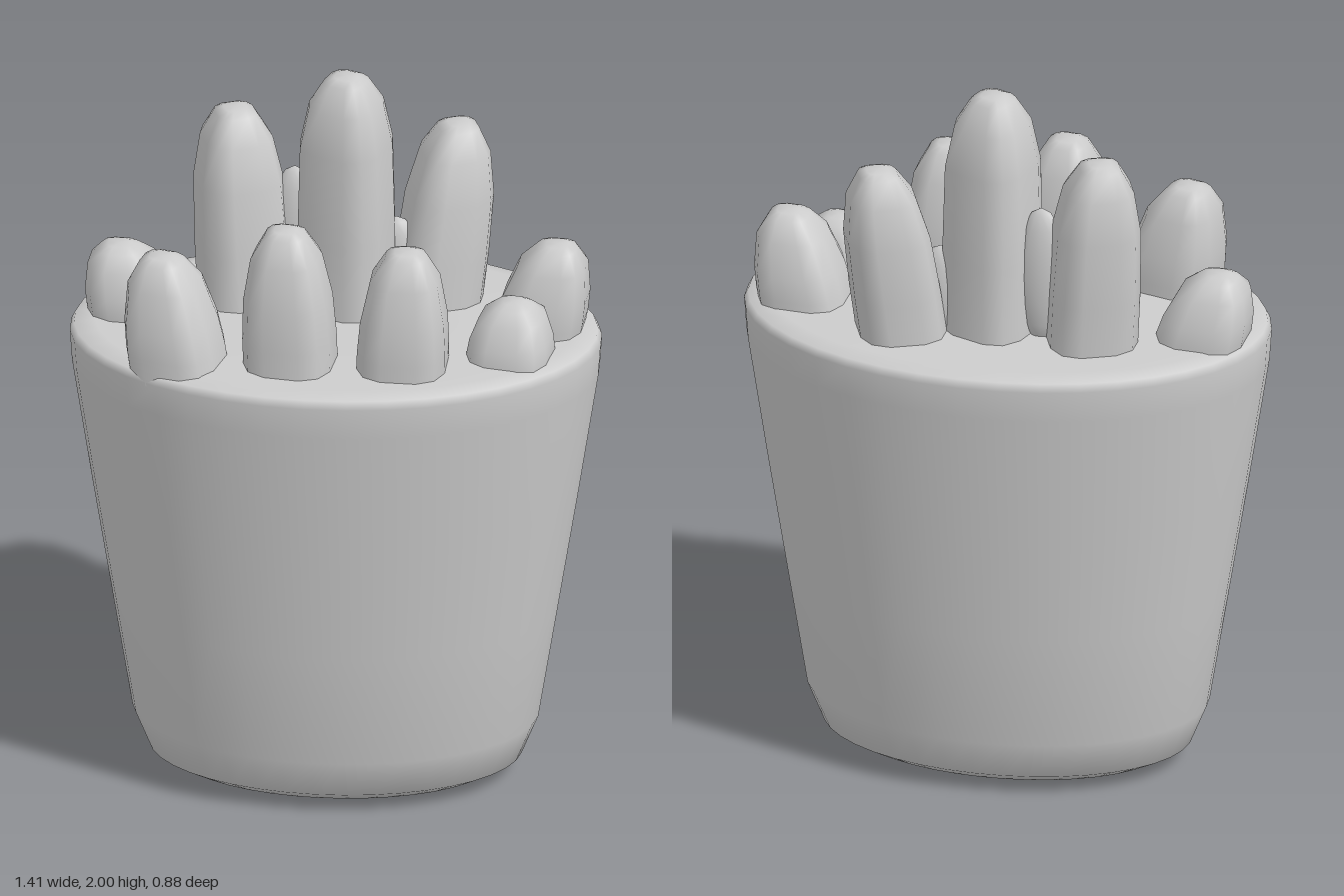
import * as THREE from 'three';

const clay = new THREE.MeshStandardMaterial({ color: 0xcccccc });
clay.name = 'plain grey';

// Skin rows of [y, halfX, halfZ, centreX, centreZ], bottom to top, with superellipse loops.
function loft(name, rows, sides, power = 2, turn = 0) {
  const pos = [], index = [];
  const bend = v => Math.sign(v) * Math.abs(v) ** (2 / power);
  const c = Math.cos(turn), s = Math.sin(turn);
  rows.forEach(([y, hx, hz, cx = 0, cz = 0], i) => {
    for (let j = 0; j < sides; j++) {
      const a = (j + 0.5) / sides * Math.PI * 2;
      const x = hx * bend(Math.cos(a)), z = hz * bend(Math.sin(a));
      pos.push(cx + x * c - z * s, y, cz + x * s + z * c);
      if (i === rows.length - 1) continue;
      const p = i * sides + j, q = i * sides + (j + 1) % sides;
      index.push(p, p + sides, q, q, p + sides, q + sides);
    }
  });
  const geo = new THREE.BufferGeometry();
  geo.setAttribute('position', new THREE.Float32BufferAttribute(pos, 3));
  geo.setIndex(index);
  geo.computeVertexNormals();
  const mesh = new THREE.Mesh(geo, clay);
  mesh.name = name;
  return mesh;
}

// One rounded square stick leaning from its base to its tip.
function fry([bx, bz, tx, tz, top, half, turn], i) {
  const base = 1.28, h = top - base;
  const row = (y, k) => {
    const t = (y - base) / h;
    return [y, half * k, half * k, bx + (tx - bx) * t, bz + (tz - bz) * t];
  };
  const tip = Math.min(0.2, h * 0.55);
  const rows = [
    row(base, 1.02), row(base + (h - tip) * 0.5, 1.02), row(top - tip, 0.97),
    row(top - tip * 0.4, 0.78), row(top - 0.012, 0.46), row(top, 0.25), row(top, 0),
  ];
  return loft('fry' + (i + 1), rows, 12, 2.9, turn);
}

export function createModel() {
  const group = new THREE.Group();
  group.name = 'cupOfFries';

  // Tapered oval cup with a rounded foot and a filled top
  group.add(loft('cup', [
    [0, 0, 0], [0, 0.3, 0.15], [0.012, 0.42, 0.23], [0.055, 0.495, 0.292],
    [0.17, 0.54, 0.335], [0.5, 0.592, 0.368], [0.85, 0.647, 0.404],
    [1.2, 0.7, 0.437], [1.29, 0.706, 0.443], [1.312, 0.695, 0.434],
    [1.322, 0.64, 0.39], [1.322, 0.3, 0.18], [1.322, 0, 0],
  ], 40));

  // Fries: base x, base z, tip x, tip z, top height, half width, turn
  const fries = [
    [-0.53, -0.07, -0.58, -0.07, 1.50, 0.118, 0.1],
    [-0.25, -0.15, -0.28, -0.18, 1.86, 0.118, -0.35],
    [0.02, -0.12, 0.02, -0.11, 2.00, 0.12, 0.4],
    [0.25, -0.18, 0.31, -0.23, 1.81, 0.116, -0.35],
    [0.53, -0.04, 0.585, -0.03, 1.56, 0.118, 0.1],
    [0.47, 0.14, 0.48, 0.13, 1.47, 0.11, 0.2],
    [-0.4, 0.22, -0.45, 0.2, 1.61, 0.122, 0.3],
    [-0.105, 0.22, -0.12, 0.22, 1.71, 0.118, 0.15],
    [0.19, 0.22, 0.2, 0.23, 1.66, 0.118, 0.05],
  ];
  fries.forEach((f, i) => group.add(fry(f, i)));

  // Thin webs where neighbouring fries touch: x, y, z, half height
  [[-0.12, 1.5, -0.16, 0.2], [0.15, 1.4, -0.155, 0.16]].forEach(([x, y, z, h], i) => {
    const web = new THREE.Mesh(new THREE.SphereGeometry(1, 12, 8), clay);
    web.name = 'fryWeb' + (i + 1);
    web.scale.set(0.07, h, 0.04);
    web.position.set(x, y, z);
    group.add(web);
  });

  return group;
}
